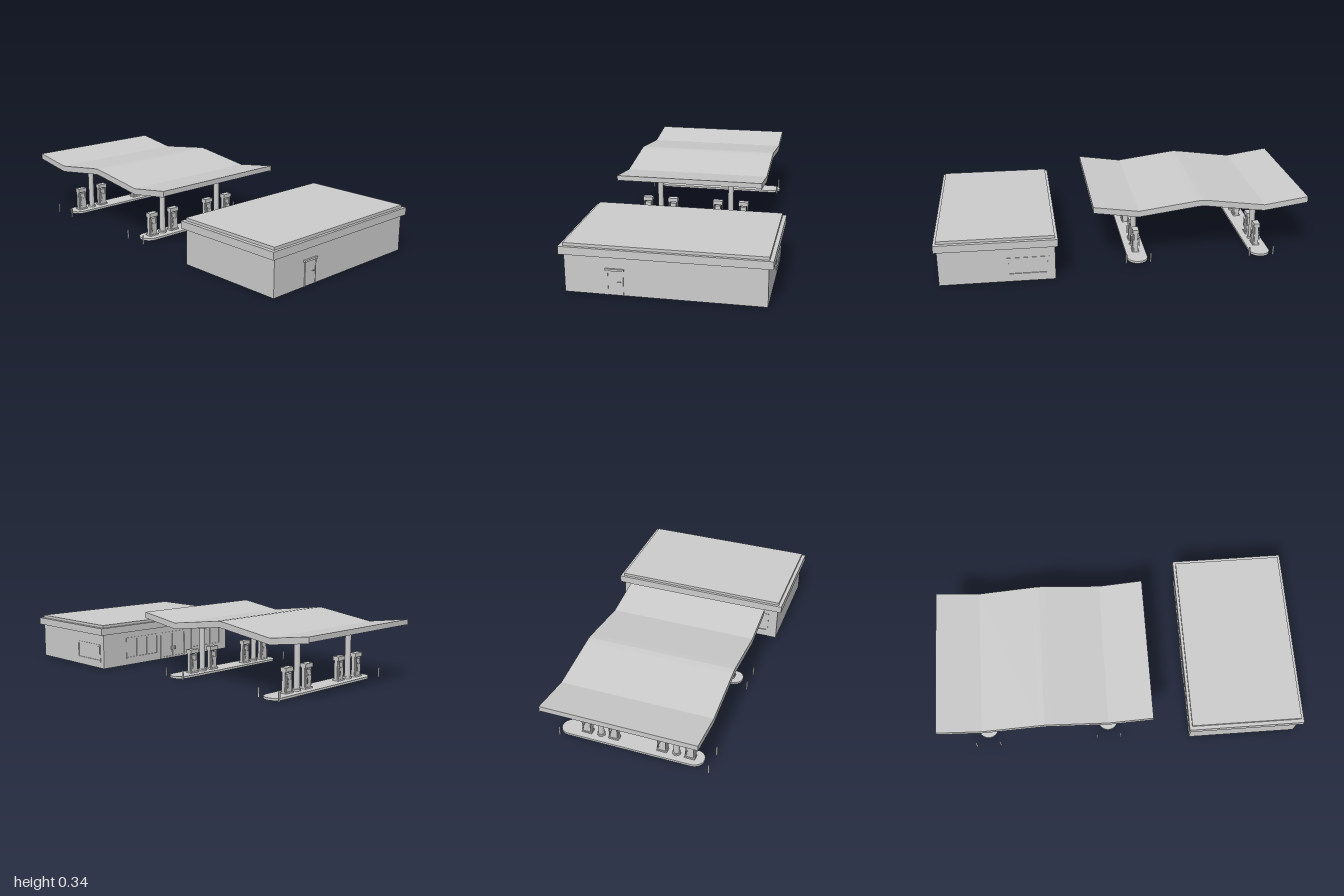
import * as THREE from 'three';

const mat = new THREE.MeshStandardMaterial({ color: 0xcccccc, flatShading: true, side: THREE.DoubleSide });
const smooth = new THREE.MeshStandardMaterial({ color: 0xcccccc });

function add(parent, name, geo, x = 0, y = 0, z = 0, m = mat) {
  const mesh = new THREE.Mesh(geo, m);
  mesh.name = name;
  mesh.position.set(x, y, z);
  parent.add(mesh);
  return mesh;
}

// Box given by its lower and upper limits
function block(parent, name, x0, x1, y0, y1, z0, z1) {
  return add(parent, name, new THREE.BoxGeometry(x1 - x0, y1 - y0, z1 - z0),
    (x0 + x1) / 2, (y0 + y1) / 2, (z0 + z1) / 2);
}

function group(parent, name, x = 0, y = 0, z = 0) {
  const g = new THREE.Group();
  g.name = name;
  g.position.set(x, y, z);
  parent.add(g);
  return g;
}

function polygon(points) {
  return new THREE.Shape(points.map(([x, y]) => new THREE.Vector2(x, y)));
}

const extrude = (shape, depth) => new THREE.ExtrudeGeometry(shape, { depth, bevelEnabled: false, curveSegments: 10 });

// Upright wall in the XY plane with rectangular openings [u0, u1, v0, v1]
function wall(parent, name, u0, u1, height, openings) {
  const g = group(parent, name), t = 0.006;
  const shape = polygon([[u0, 0], [u1, 0], [u1, height], [u0, height]]);
  for (const [a, b, c, d] of openings) {
    shape.holes.push(new THREE.Path([[a, c], [a, d], [b, d], [b, c]].map(p => new THREE.Vector2(...p))));
  }
  add(g, 'wallPanel', extrude(shape, t));
  return g;
}

// Framed glazing with a number of panes, in the XY plane
function glazing(parent, name, [a, b, c, d], panes) {
  const g = group(parent, name), w = 0.005, z0 = -0.003, z1 = 0.009;
  block(g, 'glass', a, b, c, d, 0.002, 0.004);
  block(g, 'sill', a - w, b + w, c - w, c + w, z0, z1);
  block(g, 'head', a - w, b + w, d - w, d + w, z0, z1);
  for (let i = 0; i <= panes; i++) {
    const u = a + (b - a) * i / panes;
    block(g, 'mullion', u - w, u + w, c, d, z0, z1);
  }
  return g;
}

function buildShop(parent) {
  const shop = group(parent, 'shop', 0.68, 0, 0);
  const hx = 0.3, hz = 0.487, h = 0.236;

  // Entrance wall: two display windows and a double door
  const windows = [[0.19, 0.43, 0.04, 0.155], [-0.32, -0.09, 0.04, 0.155]];
  const door = [-0.06, 0.13, 0.006, 0.155];
  const entrance = wall(shop, 'entranceWall', -hz, hz, h, [...windows, door]);
  windows.forEach(o => glazing(entrance, 'shopWindow', o, 3));
  glazing(entrance, 'doubleDoor', door, 2);
  for (const s of [-1, 1]) {
    block(entrance, 'doorHandle', 0.031 + s * 0.012, 0.039 + s * 0.012, 0.05, 0.07, -0.008, 0.004);
  }
  // Its outer face is turned to -x, its own u axis runs along +z
  entrance.rotation.y = -Math.PI / 2;
  entrance.position.x = -hx + 0.006;
  entrance.children.forEach(c => { c.position.z = c.name === 'wallPanel' ? 0 : -c.position.z; });
  entrance.children.filter(c => c.name === 'doorHandle').forEach(c => { c.position.z = 0.009; });

  // Back wall with one wide window
  const backOpening = [-0.265, -0.055, 0.04, 0.13];
  const back = wall(shop, 'backWall', -hx, hx, h, [backOpening]);
  glazing(back, 'backWindow', backOpening, 1);
  back.position.z = -hz;

  block(shop, 'frontWall', -hx, hx, 0, h, hz - 0.006, hz);
  block(shop, 'sideWall', hx - 0.006, hx, 0, h, -hz, hz);

  // Side door
  const d = group(shop, 'sideDoor');
  block(d, 'doorLeaf', hx, hx + 0.003, 0.004, 0.125, 0.202, 0.272);
  block(d, 'doorLintel', hx, hx + 0.01, 0.126, 0.136, 0.194, 0.284);
  for (const z of [0.198, 0.272]) block(d, 'doorJamb', hx, hx + 0.005, 0, 0.126, z, z + 0.004);
  block(d, 'doorHandle', hx + 0.003, hx + 0.008, 0.068, 0.071, 0.21, 0.226);

  // Overhanging fascia ring and raised roof
  const ring = polygon([[-0.315, -0.51], [0.315, -0.51], [0.315, 0.51], [-0.315, 0.51]]);
  ring.holes.push(new THREE.Path([[-hx, -hz], [-hx, hz], [hx, hz], [hx, -hz]].map(p => new THREE.Vector2(...p))));
  add(shop, 'roofFascia', extrude(ring, 0.04), 0, 0.195, 0).rotation.x = -Math.PI / 2;
  block(shop, 'roof', -hx, hx, 0.233, 0.25, -0.49, 0.49);
}

function buildCanopy(parent) {
  const canopy = group(parent, 'canopy');
  const top = [[-1, 0.335], [-0.76, 0.3], [-0.45, 0.342], [-0.418, 0.345], [-0.386, 0.342], [-0.076, 0.3], [0.167, 0.335]];
  const slab = t => polygon([...top, ...top.map(([x, y]) => [x, y - t]).reverse()]);
  add(canopy, 'canopyRoof', extrude(slab(0.028), 0.8), 0, 0, -0.35);
  // End trims hang slightly below the roof
  for (const z of [-0.355, 0.45]) add(canopy, 'canopyTrim', extrude(slab(0.033), 0.005), 0, 0, z);
  for (const x of [-0.76, -0.076]) block(canopy, 'valleyBeam', x - 0.015, x + 0.015, 0.268, 0.28, -0.35, 0.45);
}

function buildPump(parent, z) {
  const p = group(parent, 'fuelPump', 0, 0.012, z);
  block(p, 'pumpFoot', -0.019, 0.019, 0, 0.008, -0.028, 0.028);
  block(p, 'pumpBody', -0.015, 0.015, 0.008, 0.068, -0.02, 0.02);
  block(p, 'pumpDisplay', -0.012, 0.012, 0.068, 0.098, -0.016, 0.016);
  block(p, 'pumpHeader', -0.017, 0.017, 0.108, 0.13, -0.028, 0.028);
  for (const s of [-1, 1]) {
    block(p, 'pumpPost', -0.01, 0.01, 0.008, 0.11, s * 0.024 - 0.003, s * 0.024 + 0.003);
    block(p, 'nozzle', s * 0.0165 - 0.0025, s * 0.0165 + 0.0025, 0.055, 0.078, s * 0.012 - 0.003, s * 0.012 + 0.003);
    const hose = new THREE.CatmullRomCurve3([
      [0.015, 0.108, 0.02], [0.021, 0.07, 0.022], [0.021, 0.025, 0.016], [0.019, 0.055, 0.012],
    ].map(([x, y, w]) => new THREE.Vector3(x * s, y, w * s)));
    add(p, 'hose', new THREE.TubeGeometry(hose, 14, 0.0014, 6), 0, 0, 0, smooth);
  }
}

function buildIsland(parent, x) {
  const island = group(parent, 'pumpIsland', x, 0, 0);
  // Kerb with rounded ends
  const r = 0.055, kerb = new THREE.Shape();
  kerb.absarc(0, 0.315, r, Math.PI, 0, true);
  kerb.absarc(0, -0.415 + r, r, 0, -Math.PI, true);
  kerb.closePath();
  // Shape y becomes -z
  add(island, 'kerb', extrude(kerb, 0.012), 0, 0, 0).rotation.x = -Math.PI / 2;

  for (const z of [0.265, -0.15]) {
    add(island, 'column', new THREE.CylinderGeometry(0.016, 0.016, 0.27, 20), 0, 0.135, z, smooth);
    add(island, 'columnCapital', new THREE.CylinderGeometry(0.025, 0.025, 0.02, 20), 0, 0.26, z, smooth);
    add(island, 'columnBase', new THREE.CylinderGeometry(0.022, 0.022, 0.01, 20), 0, 0.017, z, smooth);
    for (const s of [-1, 1]) buildPump(island, z + s * 0.075);
  }
  for (const z of [-0.357, 0.457]) {
    for (const s of [-1, 1]) {
      add(island, 'bollard', new THREE.CylinderGeometry(0.005, 0.005, 0.05, 12), s * 0.067, 0.025, z, smooth);
    }
  }
}

export function createModel() {
  const model = new THREE.Group();
  model.name = 'fuelStation';
  buildShop(model);
  buildCanopy(model);
  for (const x of [-0.76, -0.076]) buildIsland(model, x);
  return model;
}
